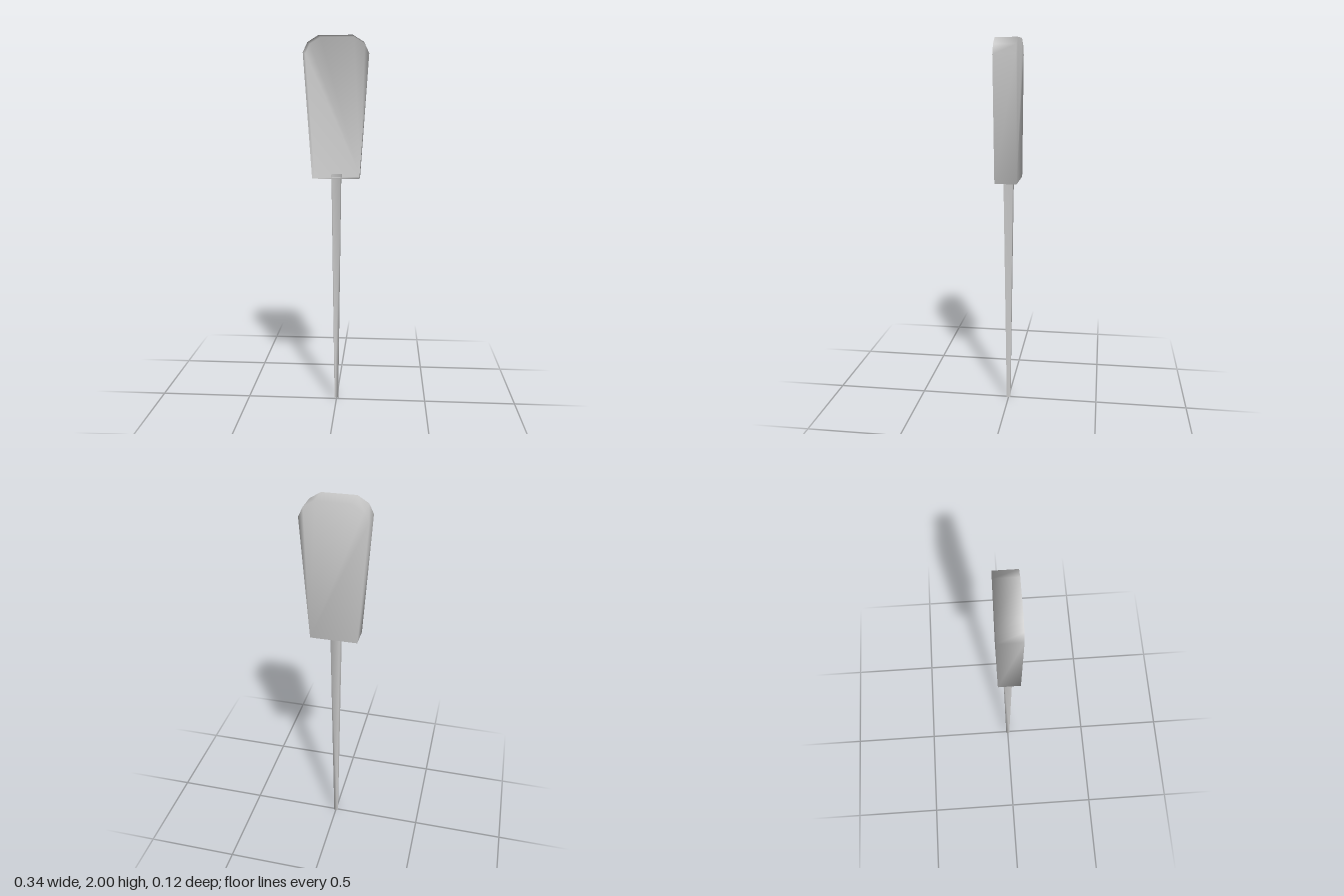
import * as THREE from 'three';

// Smooth shell lofted between two matching rings of [x, y, z] points
function loft(ringA, ringB, closed, capped) {
  const n = ringA.length, index = [];
  for (let i = 0; i < (closed ? n : n - 1); i++) {
    const j = (i + 1) % n;
    index.push(i, n + i, n + j, i, n + j, j);
  }
  // Fan that closes the second ring
  if (capped) for (let i = 1; i < n - 1; i++) index.push(n, n + i + 1, n + i);
  const geometry = new THREE.BufferGeometry();
  geometry.setAttribute('position', new THREE.Float32BufferAttribute([...ringA, ...ringB].flat(), 3));
  geometry.setIndex(index);
  geometry.computeVertexNormals();
  return geometry;
}

export function createModel() {
  const group = new THREE.Group();
  const material = new THREE.MeshStandardMaterial({ color: 0xcccccc, side: THREE.DoubleSide });
  const add = (name, geometry) => {
    const mesh = new THREE.Mesh(geometry, material);
    mesh.name = name;
    group.add(mesh);
  };

  // Handle: flared tray with a bevelled top, closed at the back, open at the front
  const half = [[0.125, 1.265], [0.169, 1.915], [0.145, 1.965], [0.088, 2]];
  const outline = [...half, ...half.map(([x, y]) => [-x, y]).reverse()];
  const depth = 0.058;
  const ring = z => outline.map(([x, y]) => [x, y, z]);
  add('handle', loft(ring(depth), ring(-depth), true, true));

  // Shaft: tapered three-sided channel, open at the front and both ends
  const section = [[-1, 1], [-1, -1], [1, -1], [1, 1]];
  const channel = (r, y) => section.map(([x, z]) => [x * r, y, z * r]);
  add('shaft', loft(channel(0.01, 0), channel(0.025, 1.282), false, false).scale(1, 1, 1));

  // Turn the channel's faces outward
  const shaft = group.getObjectByName('shaft').geometry;
  const normal = shaft.attributes.normal;
  if (normal.getX(0) > 0) {
    shaft.setIndex([...shaft.index.array].reverse());
    shaft.computeVertexNormals();
  }
  return group;
}
